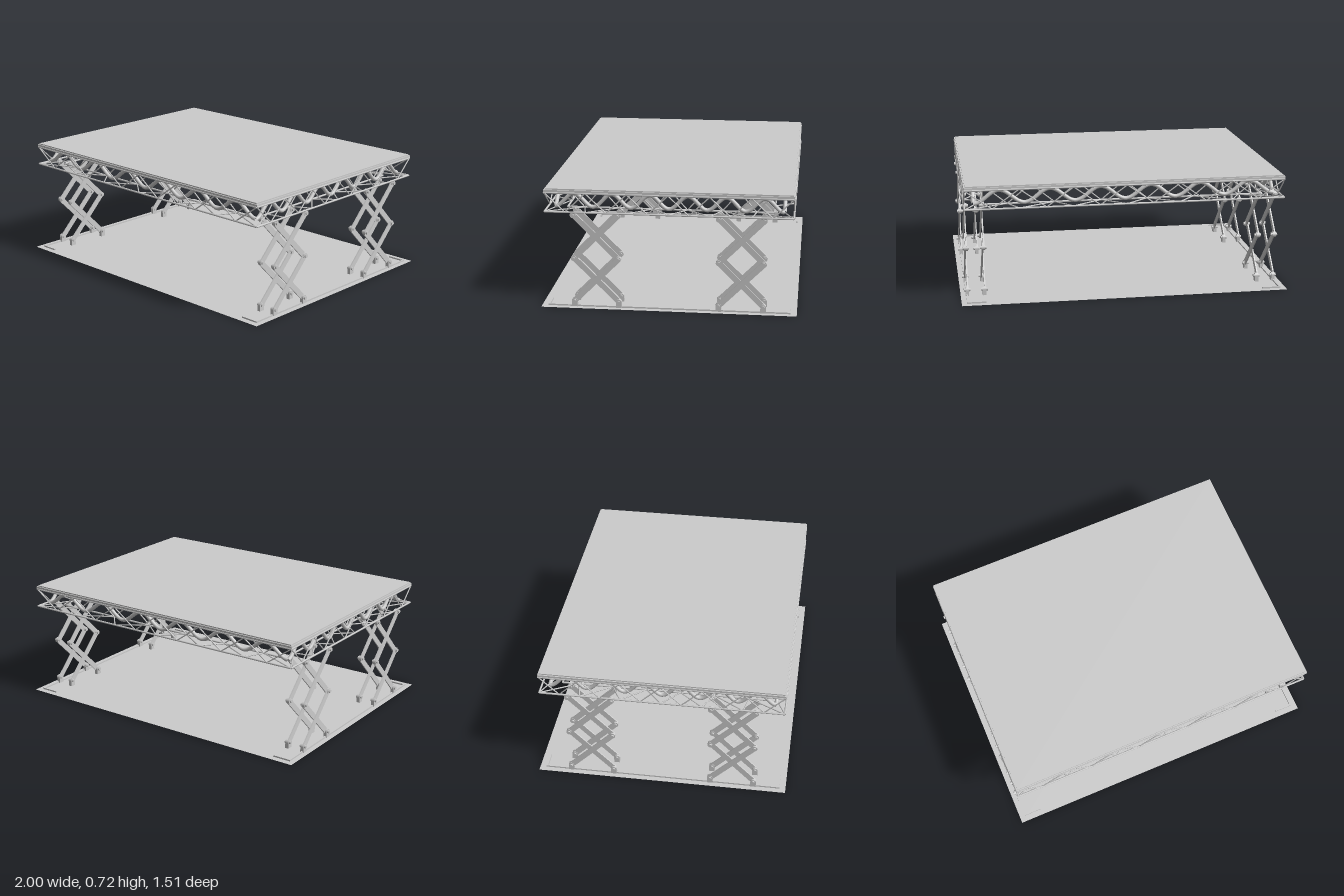
import * as THREE from 'three';

const grey = new THREE.MeshStandardMaterial({ color: 0xcccccc });
const thin = new THREE.MeshStandardMaterial({ color: 0xcccccc, side: THREE.DoubleSide });
const UP = new THREE.Vector3(0, 1, 0);
const V = (x, y, z) => new THREE.Vector3(x, y, z);

const OUT = { x: 0.967, z: 0.727 };   // outer truss rectangle
const INN = { x: 0.85, z: 0.61 };     // inner truss rectangle
const MID = { x: 0.913, z: 0.672 };   // path of the wavy tube
const TOP = 0.697, BOTTOM = 0.582, BAYS = 12;

function add(parent, name, geometry, x = 0, y = 0, z = 0, material = grey) {
  const mesh = new THREE.Mesh(geometry, material);
  mesh.name = name;
  mesh.position.set(x, y, z);
  parent.add(mesh);
  return mesh;
}

// round bar between two points
function rod(parent, name, a, b, r, sides = 8) {
  const d = b.clone().sub(a);
  const mesh = add(parent, name, new THREE.CylinderGeometry(r, r, d.length(), sides));
  mesh.position.copy(a).add(b).multiplyScalar(0.5);
  mesh.quaternion.setFromUnitVectors(UP, d.normalize());
}

// corners of a rectangle, in order round the table
const corners = (s, y) => [V(-s.x, y, s.z), V(s.x, y, s.z), V(s.x, y, -s.z), V(-s.x, y, -s.z)];

function buildTruss() {
  const truss = new THREE.Group();
  truss.name = 'trussFrame';
  // four horizontal chord rectangles
  for (const s of [OUT, INN]) for (const y of [TOP, BOTTOM]) {
    const c = corners(s, y);
    c.forEach((p, i) => rod(truss, 'chord', p, c[(i + 1) % 4], 0.006));
  }
  // zigzag braces: outer face, inner face and underside
  const zigzag = (a, ya, b, yb) => {
    const A = corners(a, ya), B = corners(b, yb);
    for (let side = 0; side < 4; side++) {
      const node = (i) => {
        const c = i % 2 ? B : A;
        return c[side].clone().lerp(c[(side + 1) % 4], i / BAYS);
      };
      for (let i = 0; i < BAYS; i++) rod(truss, 'brace', node(i), node(i + 1), 0.004, 6);
    }
  };
  zigzag(OUT, TOP, OUT, BOTTOM);
  zigzag(INN, TOP, INN, BOTTOM);
  zigzag(OUT, BOTTOM, INN, BOTTOM);
  return truss;
}

// wavy tubes inside the truss, six waves per side
function buildWaves() {
  const waves = new THREE.Group();
  waves.name = 'wavyTubes';
  const c = corners(MID, 0.643);
  for (let side = 0; side < 4; side++) {
    const points = [];
    for (let i = 0; i <= 72; i++) {
      const p = c[side].clone().lerp(c[(side + 1) % 4], i / 72);
      p.y -= 0.04 * Math.cos((i / 12) * Math.PI * 2);
      points.push(p);
    }
    add(waves, 'wavyTube', new THREE.TubeGeometry(new THREE.CatmullRomCurve3(points), 160, 0.012, 10));
  }
  return waves;
}

// two-stage scissor leg lying in the plane x = 0
function buildScissor() {
  const leg = new THREE.Group();
  const half = 0.132, levels = [0.035, 0.3, 0.565];
  for (let stage = 0; stage < 2; stage++) {
    const rise = levels[stage + 1] - levels[stage];
    for (const s of [-1, 1]) {
      const arm = add(leg, 'scissorArm', new THREE.BoxGeometry(0.008, 0.034, Math.hypot(half * 2, rise)),
        s * 0.004, (levels[stage] + levels[stage + 1]) / 2, 0);
      arm.rotation.x = s * Math.atan2(rise, half * 2);
    }
  }
  for (const s of [-1, 1]) {
    for (const y of levels) {
      const pin = add(leg, 'pivotPin', new THREE.CylinderGeometry(0.017, 0.017, 0.022, 20), 0, y, s * half);
      pin.rotation.z = Math.PI / 2;
      const bolt = add(leg, 'pivotBolt', new THREE.CylinderGeometry(0.01, 0.01, 0.04, 16), 0, y, s * half);
      bolt.rotation.z = Math.PI / 2;
    }
    add(leg, 'foot', new THREE.BoxGeometry(0.022, 0.034, 0.034), 0, 0.017, s * half);
  }
  return leg;
}

export function createModel() {
  const model = new THREE.Group();
  model.name = 'scissorTable';

  // ground sheet
  const floor = add(model, 'groundSheet', new THREE.PlaneGeometry(2, 1.514), 0, 0, 0, thin);
  floor.rotation.x = -Math.PI / 2;

  // table top with a narrower raised layer
  add(model, 'tableTop', new THREE.BoxGeometry(1.94, 0.012, 1.46), 0, 0.708, 0);
  add(model, 'tableTopLayer', new THREE.BoxGeometry(1.925, 0.008, 1.445), 0, 0.717, 0);

  model.add(buildTruss(), buildWaves());

  for (const sx of [-1, 1]) {
    // floor rail with ends turned inward
    add(model, 'floorRail', new THREE.BoxGeometry(0.01, 0.009, 1.44), sx * 0.962, 0.0045, 0);
    for (const sz of [-1, 1]) {
      add(model, 'railEnd', new THREE.BoxGeometry(0.115, 0.009, 0.01), sx * 0.91, 0.0045, sz * 0.715);
      // paired scissors at each corner
      for (const x of [0.855, 0.96]) {
        const leg = buildScissor();
        leg.name = 'scissorLeg';
        leg.position.set(sx * x, 0, sz * 0.428);
        model.add(leg);
      }
    }
  }
  return model;
}
